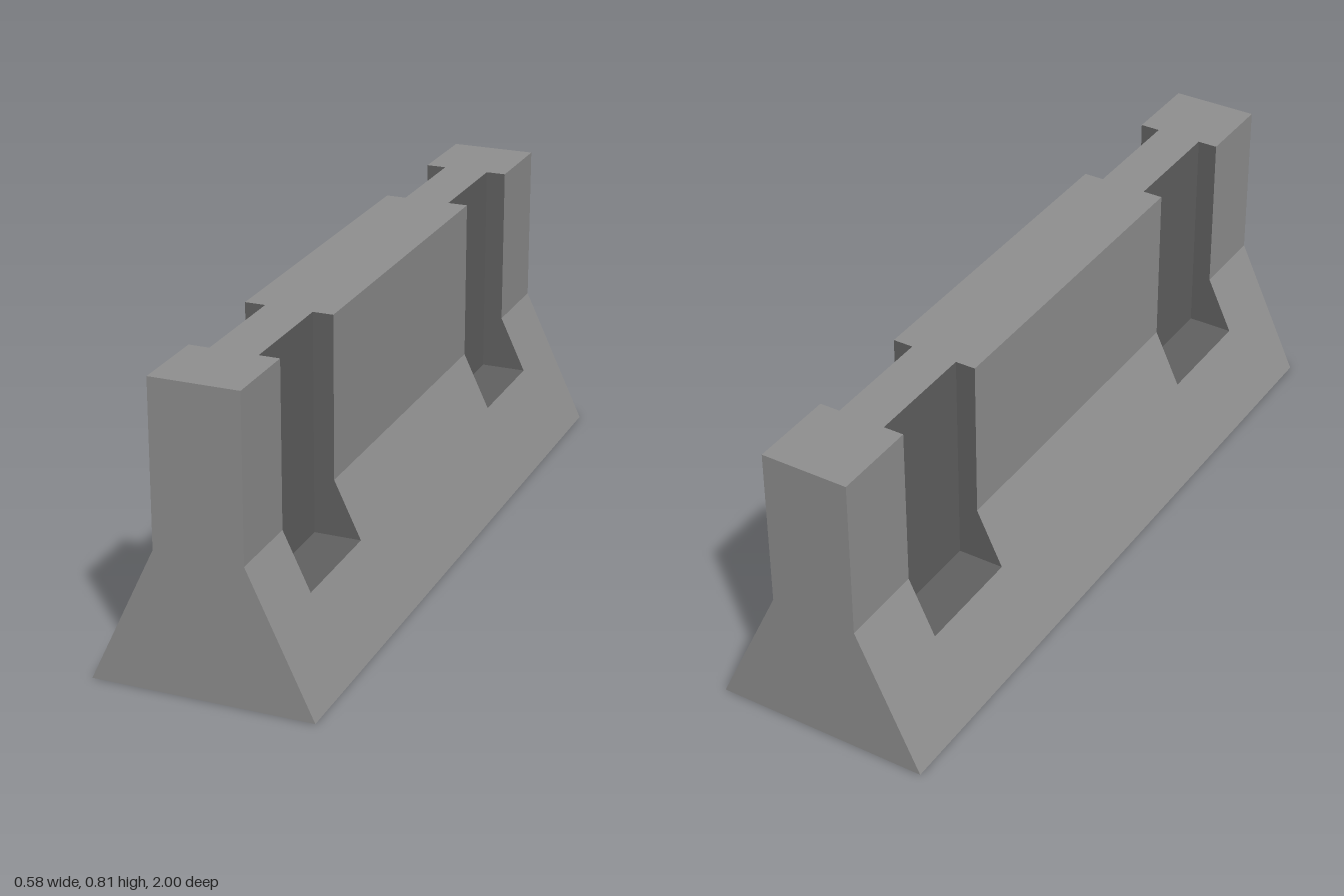
import * as THREE from 'three';

const FOOT = 0.292, WALL = 0.117, BEND = 0.372, TOP = 0.807;   // barrier section
const FLOOR = 0.22, DEPTH = 0.063;                             // slot floor height and back wall
const LIP = FOOT + (WALL - FOOT) * FLOOR / BEND;               // where the slot floor meets the slope
const SLOTS = [[-0.767, -0.457], [0.473, 0.785]];              // z ranges

// Sweeps an open outline along z; outward is to the right of its direction.
function strip(points, z0, z1) {
  const pos = [];
  for (let i = 0; i < points.length - 1; i++) {
    const [ax, ay] = points[i], [bx, by] = points[i + 1];
    pos.push(ax, ay, z0, bx, by, z0, bx, by, z1, ax, ay, z0, bx, by, z1, ax, ay, z1);
  }
  const g = new THREE.BufferGeometry();
  g.setAttribute('position', new THREE.Float32BufferAttribute(pos, 3));
  g.computeVertexNormals();
  return g;
}

// Flat outline at depth z, facing +z or -z.
function plate(points, z, facing) {
  const g = new THREE.ShapeGeometry(new THREE.Shape(points.map(p => new THREE.Vector2(...p))));
  if (facing < 0) g.rotateY(Math.PI);
  return g.translate(0, 0, z);
}

const flip = points => points.map(([x, y]) => [-x, y]).reverse();

export function createModel() {
  const group = new THREE.Group();
  const concrete = new THREE.MeshStandardMaterial({ color: 0x909090 });
  const slotGrey = new THREE.MeshStandardMaterial({ color: 0x626262 });
  const add = (name, geometry, material) => {
    const mesh = new THREE.Mesh(geometry, material);
    mesh.name = name;
    group.add(mesh);
  };

  const side = [[FOOT, 0], [LIP, FLOOR], [WALL, BEND], [WALL, TOP]];
  const section = [...side, ...flip(side)];

  // End faces and underside
  add('frontEnd', plate(section, 1, 1), concrete);
  add('backEnd', plate(section, -1, -1), concrete);
  add('underside', strip([[-FOOT, 0], [FOOT, 0]], -1, 1), concrete);

  // Full-section lengths between the slots
  const stops = [-1, ...SLOTS.flat(), 1];
  for (let i = 0; i < stops.length; i += 2) {
    add('barrierBody', strip(section, stops[i], stops[i + 1]), concrete);
  }

  // Slotted lengths: narrow top, lower slopes and recessed slots on both sides
  const recess = [[LIP, FLOOR], [DEPTH, FLOOR], [DEPTH, TOP]];
  const cheek = [[DEPTH, FLOOR], [LIP, FLOOR], [WALL, BEND], [WALL, TOP], [DEPTH, TOP]];
  for (const [z0, z1] of SLOTS) {
    add('narrowTop', strip([[DEPTH, TOP], [-DEPTH, TOP]], z0, z1), concrete);
    for (const mirror of [p => p, flip]) {
      add('lowerSlope', strip(mirror([[FOOT, 0], [LIP, FLOOR]]), z0, z1), concrete);
      add('slotRecess', strip(mirror(recess), z0, z1), slotGrey);
      add('slotCheekBack', plate(mirror(cheek), z0, 1), slotGrey);
      // rotating to face -z also swaps sides, so both sides are still covered
      add('slotCheekFront', plate(mirror(cheek), z1, -1), slotGrey);
    }
  }
  return group;
}
